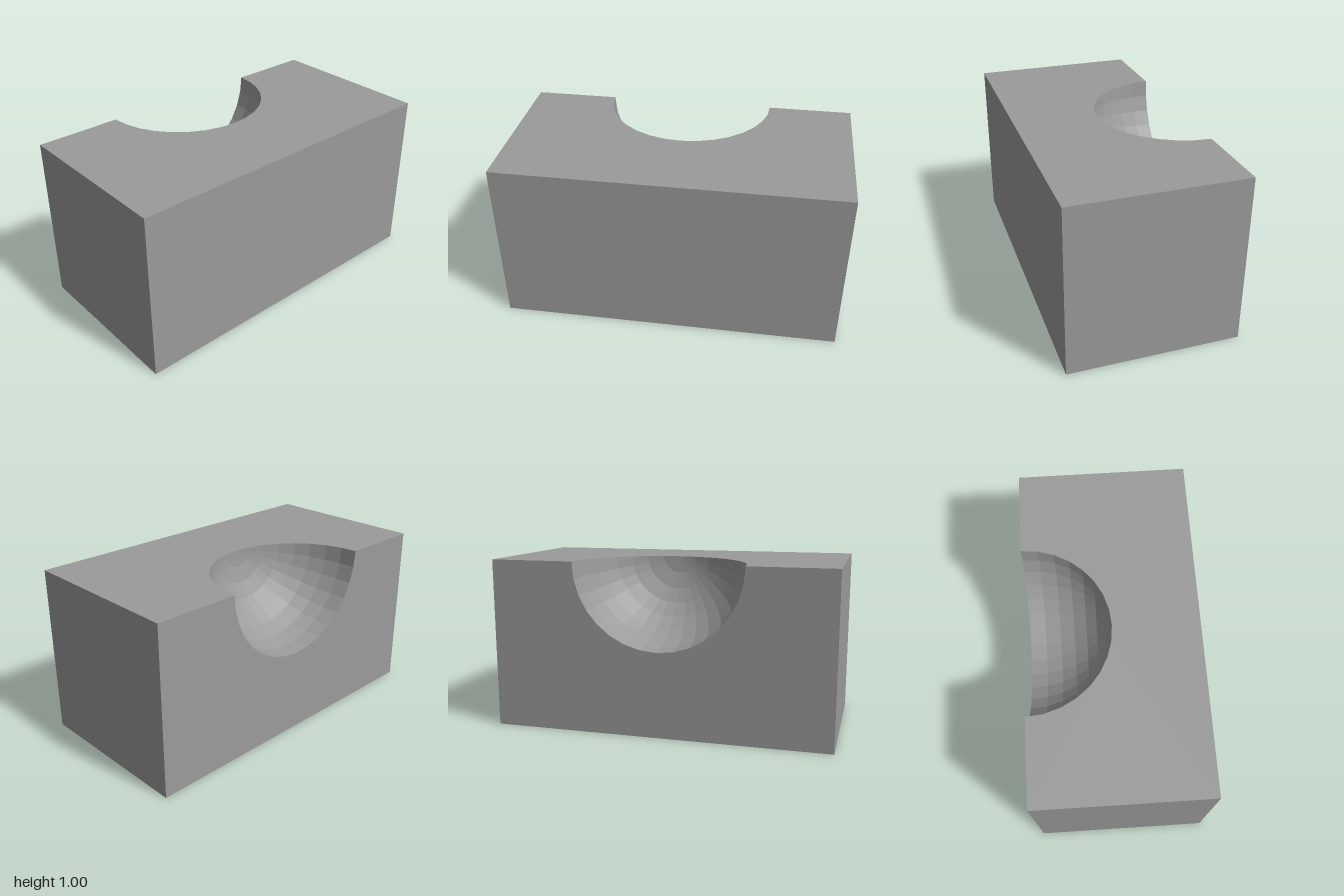
import * as THREE from 'three';

const WIDTH = 2, SIDE = 1, RADIUS = 0.5, SEGMENTS = 16;

// Rectangle with a faceted half-round notch in the middle of its upper edge
function notchedFace() {
  const w = WIDTH / 2, h = SIDE / 2;
  const points = [
    new THREE.Vector2(-w, h),
    new THREE.Vector2(-w, -h),
    new THREE.Vector2(w, -h),
    new THREE.Vector2(w, h),
  ];
  for (let i = 0; i <= SEGMENTS; i++) {
    const a = (Math.PI * i) / SEGMENTS;
    points.push(new THREE.Vector2(RADIUS * Math.cos(a), h - RADIUS * Math.sin(a)));
  }
  return new THREE.ShapeGeometry(new THREE.Shape(points));
}

// Quarter sphere with its pole towards +z, turned to face inwards
function hollowGeometry() {
  const geometry = new THREE.SphereGeometry(
    RADIUS, SEGMENTS, SEGMENTS / 2, 0, Math.PI, 0, Math.PI / 2);
  geometry.rotateX(Math.PI / 2);
  geometry.setIndex(Array.from(geometry.index.array).reverse());
  const normal = geometry.attributes.normal;
  for (let i = 0; i < normal.array.length; i++) normal.array[i] *= -1;
  return geometry;
}

export function createModel() {
  const model = new THREE.Group();
  model.name = 'hollowedBlock';
  const material = new THREE.MeshStandardMaterial({ color: 0x9b9b9b, flatShading: true });

  const add = (name, geometry, position, rx = 0, ry = 0) => {
    const mesh = new THREE.Mesh(geometry, material);
    mesh.name = name;
    mesh.position.set(...position);
    mesh.rotation.set(rx, ry, 0);
    model.add(mesh);
  };

  const q = Math.PI / 2, half = SIDE / 2;

  // Plain faces of the block
  add('frontFace', new THREE.PlaneGeometry(WIDTH, SIDE), [0, half, half]);
  add('bottomFace', new THREE.PlaneGeometry(WIDTH, SIDE), [0, 0, 0], q);
  add('leftFace', new THREE.PlaneGeometry(SIDE, SIDE), [WIDTH / 2, half, 0], 0, q);
  add('rightFace', new THREE.PlaneGeometry(SIDE, SIDE), [-WIDTH / 2, half, 0], 0, -q);

  // Faces cut by the hollow
  add('topFace', notchedFace(), [0, SIDE, 0], -q);
  add('backFace', notchedFace(), [0, half, -half], 0, Math.PI);

  // Scooped hollow, centred on the top back edge
  add('hollow', hollowGeometry(), [0, SIDE, -half]);

  return model;
}
